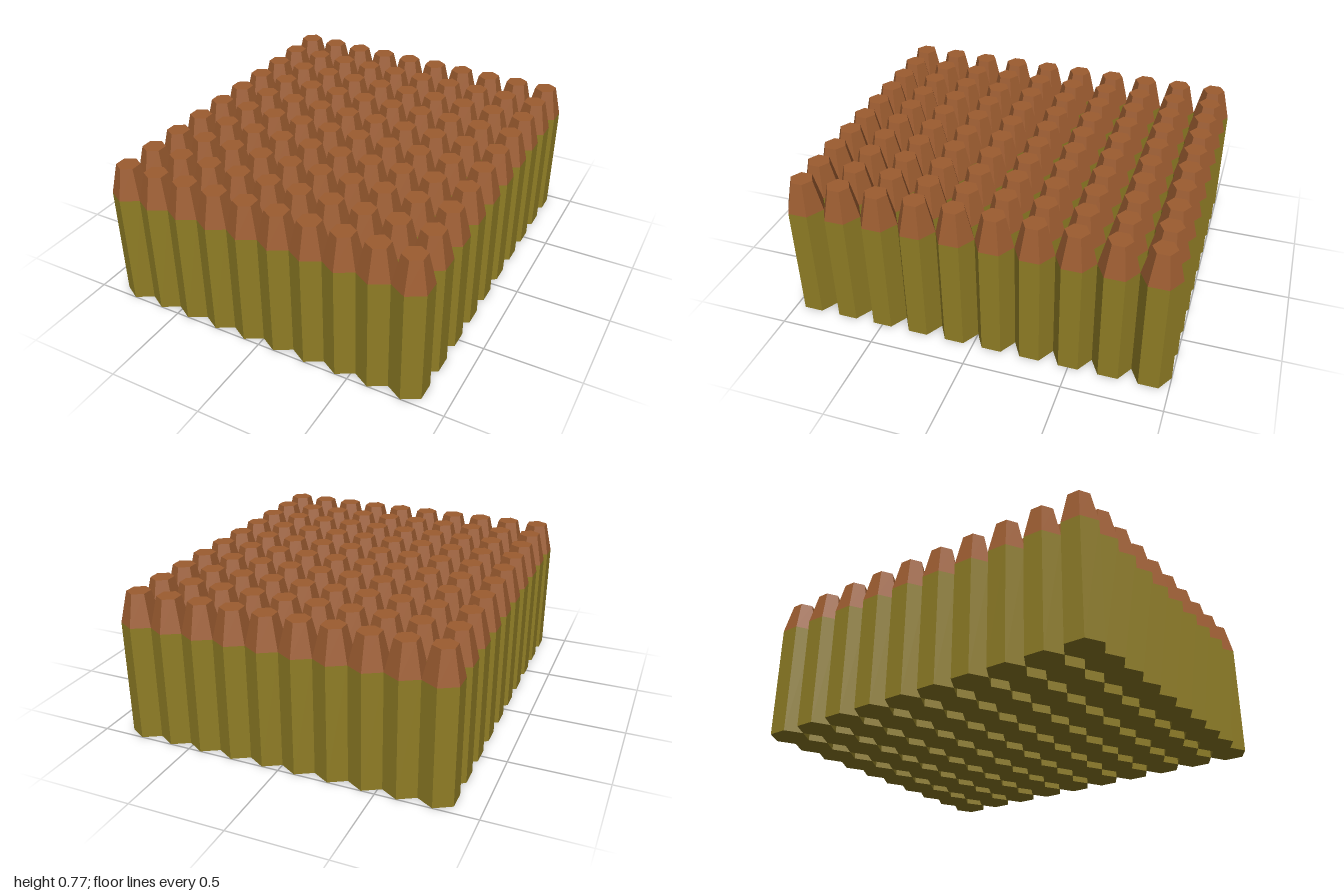
import * as THREE from 'three';

export function createModel() {
  const model = new THREE.Group();
  model.name = 'postBlock';

  const count = 10;            // posts per side
  const radius = 0.1;          // hexagon corner radius
  const shaftHeight = 0.61;
  const tipHeight = 0.165;
  const stepX = radius * Math.sqrt(3);  // flat to flat
  const stepZ = radius * 2;             // corner to corner

  const olive = new THREE.MeshStandardMaterial({ color: 0x8f7d25, flatShading: true });
  const brown = new THREE.MeshStandardMaterial({ color: 0x9c5c30, flatShading: true });

  // Hexagonal shaft and its tapered, flat-topped tip, both standing on their base
  const shaftGeometry = new THREE.CylinderGeometry(radius, radius, shaftHeight, 6)
    .translate(0, shaftHeight / 2, 0);
  const tipGeometry = new THREE.CylinderGeometry(radius * 0.6, radius, tipHeight, 6)
    .translate(0, shaftHeight + tipHeight / 2, 0);

  function addPart(parent, name, geometry, material) {
    const mesh = new THREE.Mesh(geometry, material);
    mesh.name = name;
    parent.add(mesh);
  }

  // Square-counted grid of posts, touching their neighbours
  for (let row = 0; row < count; row++) {
    for (let column = 0; column < count; column++) {
      const post = new THREE.Group();
      post.name = 'post';
      addPart(post, 'shaft', shaftGeometry, olive);
      addPart(post, 'tip', tipGeometry, brown);
      post.position.set(
        (column - (count - 1) / 2) * stepX,
        0,
        (row - (count - 1) / 2) * stepZ
      );
      model.add(post);
    }
  }
  return model;
}
